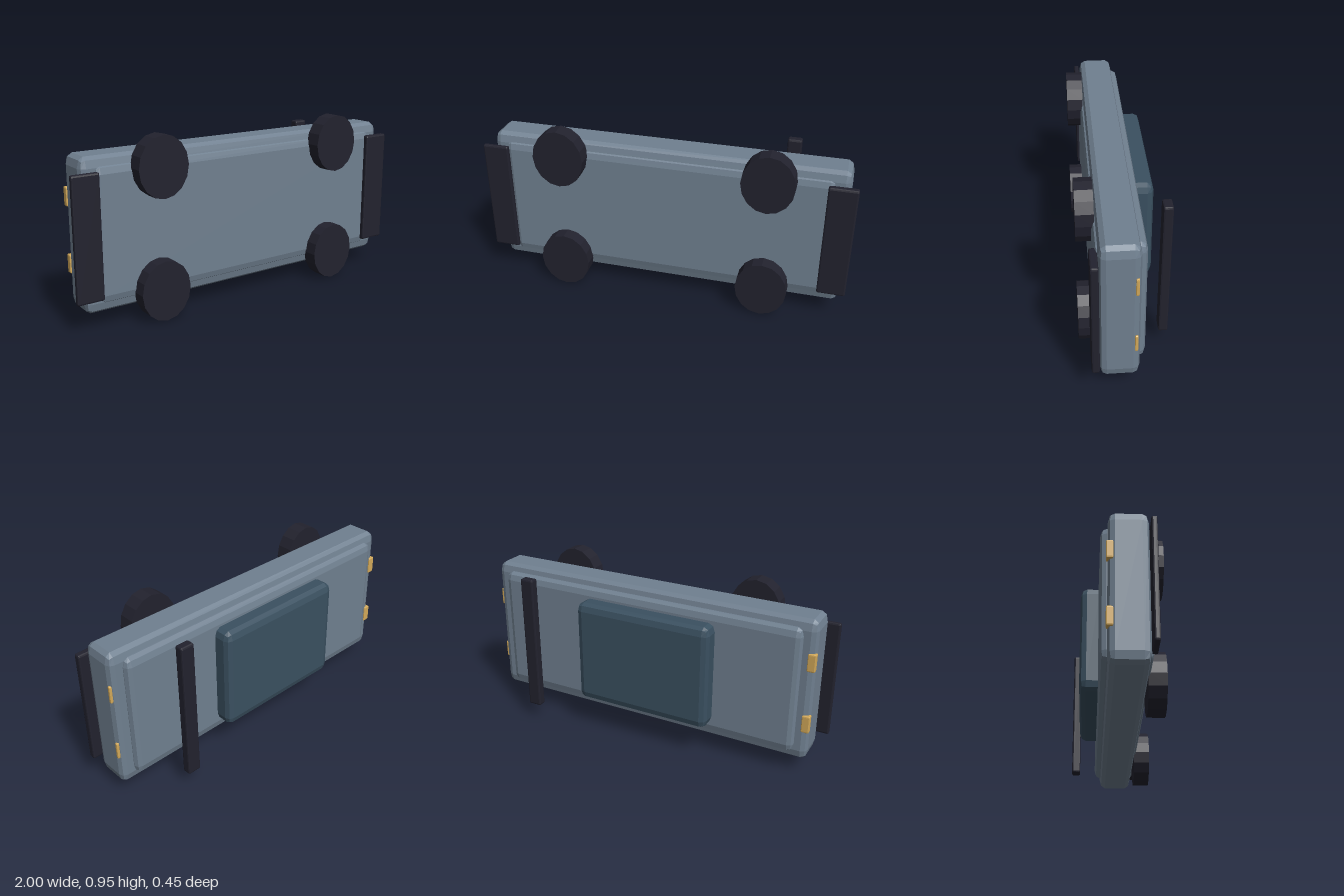
import * as THREE from 'three';
import { RoundedBoxGeometry } from 'three/addons/geometries/RoundedBoxGeometry.js';

const material = (name, color) => {
  const m = new THREE.MeshStandardMaterial({ color, flatShading: true });
  m.name = name;
  return m;
};

// Bevelled box between two corners, with its own bevel size on each axis
function bevelBox(name, mat, min, max, bevel) {
  const size = max.map((v, i) => v - min[i]);
  const geo = new RoundedBoxGeometry(size[0] / bevel[0], size[1] / bevel[1], size[2] / bevel[2], 1, 1);
  geo.scale(...bevel);
  const mesh = new THREE.Mesh(geo, mat);
  mesh.name = name;
  mesh.position.set(...min.map((v, i) => (v + max[i]) / 2));
  return mesh;
}

export function createModel() {
  const model = new THREE.Group();
  model.name = 'carOnItsSide';
  const paint = material('blueGreyPaint', 0x708090);
  const glass = material('darkTealGlass', 0x3a5060);
  const black = material('blackRubber', 0x22222e);
  const amber = material('amberLamp', 0xd4aa5a);

  // Shell: wide body, narrower deck passing through it, cabin on the roof side (-z)
  model.add(
    bevelBox('body', paint, [-0.942, 0.085, -0.055], [0.962, 0.865, 0.137], [0.032, 0.055, 0.033]),
    bevelBox('deck', paint, [-0.875, 0.13, -0.088], [0.89, 0.823, 0.153], [0.03, 0.045, 0.03]),
    bevelBox('cabin', glass, [-0.425, 0.187, -0.18], [0.355, 0.765, -0.05], [0.035, 0.045, 0.033]),
  );

  // Splitters at both ends and the rear wing
  model.add(
    bevelBox('leftSplitter', black, [0.85, 0.16, 0.138], [1, 0.795, 0.176], [0.008, 0.01, 0.008]),
    bevelBox('rightSplitter', black, [-1, 0.16, 0.14], [-0.857, 0.795, 0.168], [0.008, 0.01, 0.008]),
    bevelBox('wing', black, [0.602, 0.088, -0.227], [0.678, 0.862, -0.179], [0.008, 0.01, 0.008]),
  );

  // Lamps in pairs at each end
  for (const y of [0.305, 0.648]) {
    model.add(
      bevelBox('tailLamp', amber, [0.945, y - 0.048, -0.043], [0.967, y + 0.048, -0.027], [0.004, 0.008, 0.004]),
      bevelBox('headLamp', amber, [-0.946, y - 0.048, -0.062], [-0.905, y + 0.048, -0.03], [0.004, 0.008, 0.004]),
    );
  }

  // Wheels: slightly oval discs facing +z
  const wheelGeo = new THREE.CylinderGeometry(1, 1, 0.087, 16);
  wheelGeo.rotateX(Math.PI / 2);
  wheelGeo.scale(0.138, 0.158, 1);
  for (const x of [-0.547, 0.56]) {
    for (const y of [0.158, 0.791]) {
      const wheel = new THREE.Mesh(wheelGeo, black);
      wheel.name = 'wheel';
      wheel.position.set(x, y, 0.1825);
      model.add(wheel);
    }
  }
  return model;
}
